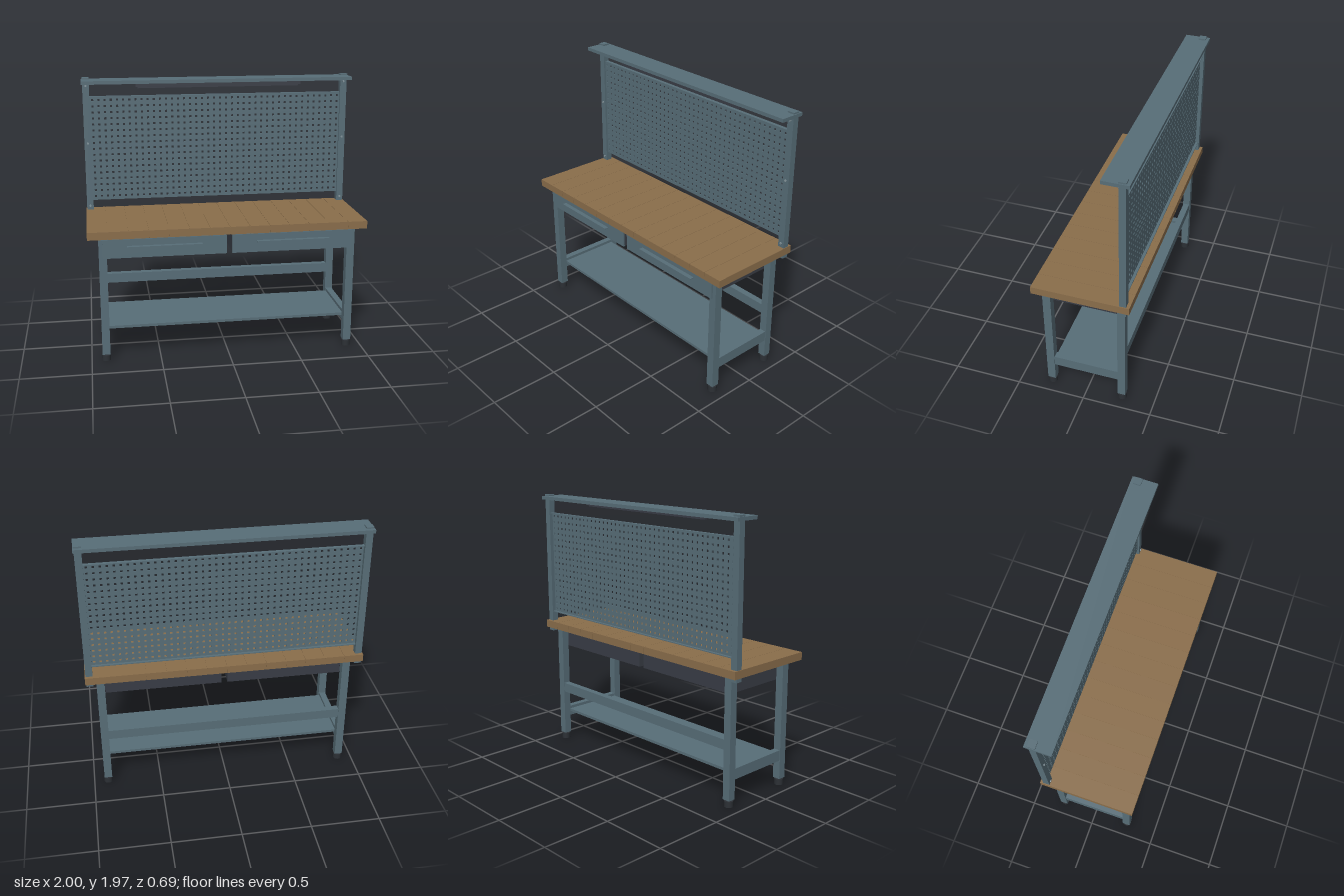
import * as THREE from 'three';

const material = (name, color) => {
  const m = new THREE.MeshStandardMaterial({ color });
  m.name = name;
  return m;
};

export function createModel() {
  const steel = material('blue grey steel', 0x586e78);
  const wood = material('wood', 0x8b6e4b);
  const charcoal = material('charcoal', 0x393d46);
  const rubber = material('black rubber', 0x2c3035);
  const bolt = material('bolt metal', 0x84959c);

  const model = new THREE.Group();
  model.name = 'workbench';

  const add = (name, geometry, mat, x = 0, y = 0, z = 0) => {
    const mesh = new THREE.Mesh(geometry, mat);
    mesh.name = name;
    mesh.position.set(x, y, z);
    model.add(mesh);
    return mesh;
  };
  // Box given by its limits along each axis
  const box = (name, mat, [x0, x1], [y0, y1], [z0, z1]) =>
    add(name, new THREE.BoxGeometry(x1 - x0, y1 - y0, z1 - z0), mat,
      (x0 + x1) / 2, (y0 + y1) / 2, (z0 + z1) / 2);
  // Same box on the left (+x) or mirrored to the right (-x)
  const sideBox = (name, mat, s, [x0, x1], y, z) =>
    box(name, mat, s > 0 ? [x0, x1] : [-x1, -x0], y, z);

  // Worktop: a row of planks with fine gaps over a thin core
  const planks = 14, plankW = 2 / planks;
  for (let i = 0; i < planks; i++) {
    const x = -1 + i * plankW;
    box('worktopPlank', wood, [x + 0.001, x + plankW - 0.001], [0.929, 0.984], [-0.345, 0.345]);
  }
  box('worktopCore', wood, [-0.998, 0.998], [0.931, 0.981], [-0.343, 0.343]);

  for (const s of [1, -1]) {
    // Legs with round rubber feet
    for (const [z0, z1] of [[0.24, 0.298], [-0.292, -0.236]]) {
      const z = (z0 + z1) / 2;
      sideBox('leg', steel, s, [0.866, 0.923], [0.05, 0.914], [z0, z1]);
      add('footStem', new THREE.CylinderGeometry(0.012, 0.012, 0.02, 12), rubber, s * 0.895, 0.045, z);
      add('foot', new THREE.CylinderGeometry(0.032, 0.032, 0.042, 16), rubber, s * 0.895, 0.021, z);
      add('worktopMount', new THREE.CylinderGeometry(0.008, 0.008, 0.02, 8), steel, s * 0.895, 0.921, z);
    }
    sideBox('sideRail', steel, s, [0.87, 0.918], [0.19, 0.268], [-0.236, 0.24]);

    // Drawer: steel front, dark case and a slim pull
    sideBox('drawerFront', steel, s, [0.02, 0.895], [0.78, 0.916], [0.298, 0.31]);
    sideBox('drawerCase', charcoal, s, [0.022, 0.865], [0.78, 0.912], [-0.236, 0.298]);
    sideBox('drawerHandle', steel, s, [0.195, 0.725], [0.858, 0.868], [0.335, 0.341]);
    sideBox('drawerHandleLip', steel, s, [0.195, 0.725], [0.863, 0.868], [0.31, 0.336]);

    // Uprights carrying the panel and top shelf
    sideBox('upright', steel, s, [0.944, 0.993], [0.92, 1.968], [-0.322, -0.275]);
    sideBox('uprightCap', steel, s, [0.942, 0.995], [1.962, 1.972], [-0.325, -0.273]);
    sideBox('uprightFoot', steel, s, [0.944, 0.993], [0.902, 0.924], [-0.322, -0.275]);
    for (const y of [1.015, 1.49, 1.915]) {
      const b = add('uprightBolt', new THREE.CylinderGeometry(0.008, 0.008, 0.008, 10), bolt, s * 0.968, y, -0.272);
      b.rotation.x = Math.PI / 2;
    }
  }

  // Lower shelf and back rail
  box('lowerShelf', steel, [-0.87, 0.87], [0.226, 0.246], [-0.236, 0.24]);
  box('backRail', steel, [-0.87, 0.87], [0.404, 0.476], [-0.288, -0.24]);

  // Perforated tool panel with folded edges
  const rect = (Type, x0, y0, x1, y1) => new Type([
    [x0, y0], [x1, y0], [x1, y1], [x0, y1],
  ].map(([x, y]) => new THREE.Vector2(x, y)));
  const W = 0.944, y0 = 1.055, y1 = 1.835, h = 0.008;
  const panel = rect(THREE.Shape, -W, y0, W, y1);
  const cols = 42, rows = 17;
  for (let c = 0; c < cols; c++) {
    for (let r = 0; r < rows; r++) {
      const x = -0.924 + c * 1.848 / (cols - 1);
      const y = 1.084 + r * 0.724 / (rows - 1);
      panel.holes.push(rect(THREE.Path, x - h, y - h, x + h, y + h));
    }
  }
  add('toolPanel', new THREE.ExtrudeGeometry(panel, { depth: 0.006, bevelEnabled: false }), steel, 0, 0, -0.295);
  box('panelTopFold', steel, [-W, W], [y1 - 0.006, y1], [-0.315, -0.295]);
  box('panelBottomFold', steel, [-W, W], [y0, y0 + 0.006], [-0.315, -0.295]);

  // Top shelf with a lamp bar below it
  box('topShelf', steel, [-1, 1], [1.935, 1.96], [-0.348, -0.165]);
  box('lampHousing', charcoal, [-0.61, 0.61], [1.91, 1.935], [-0.222, -0.182]);
  box('lampTube', charcoal, [-0.595, 0.595], [1.901, 1.911], [-0.214, -0.19]);

  return model;
}
